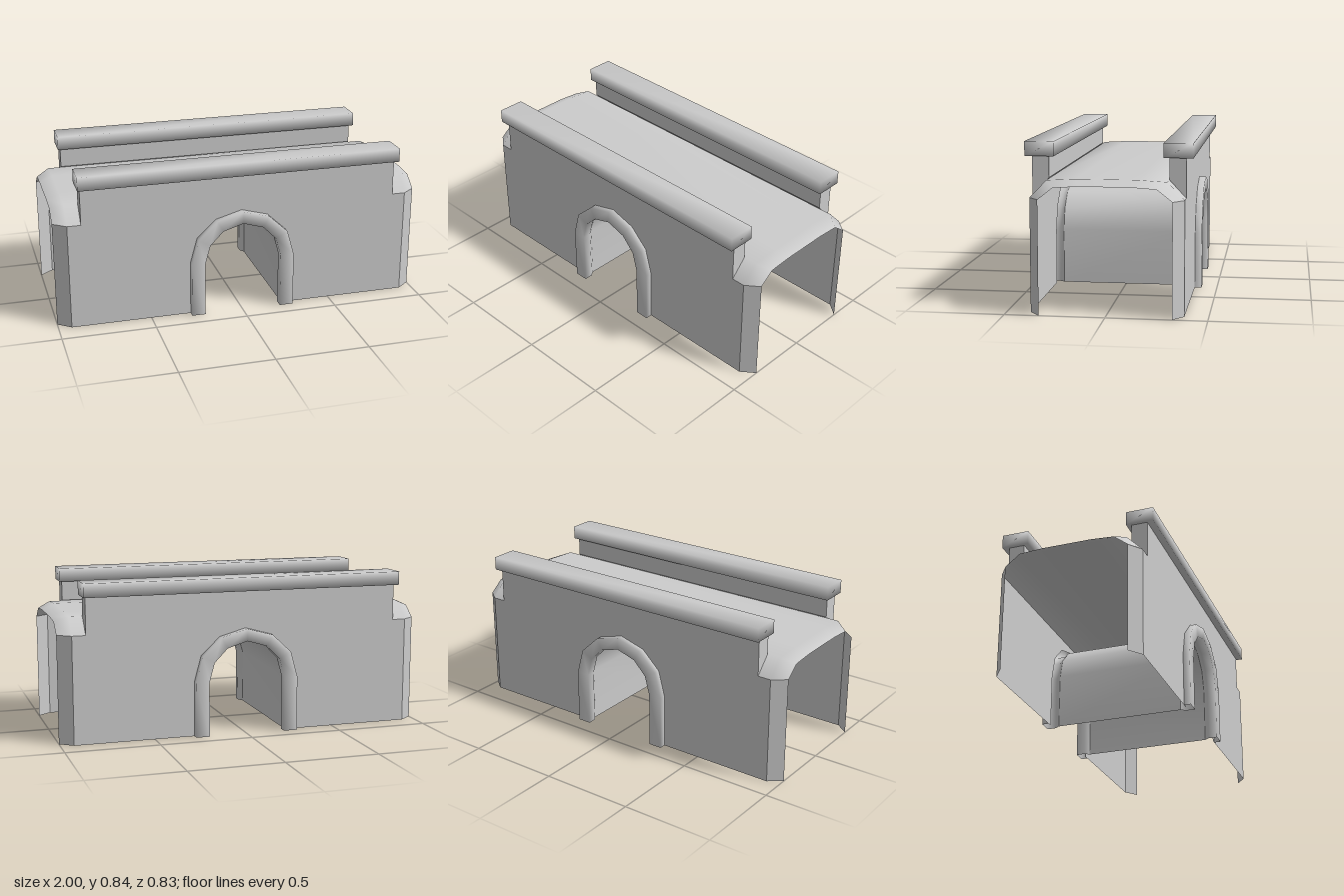
import * as THREE from 'three';
import { mergeVertices } from 'three/addons/utils/BufferGeometryUtils.js';

const stone = new THREE.MeshStandardMaterial({ color: 0xcccccc, side: THREE.DoubleSide });
stone.name = 'grey stone';

function mesh(name, geometry, parent) {
  const m = new THREE.Mesh(geometry, stone);
  m.name = name;
  parent.add(m);
  return m;
}

// Smooth surface through equal-length rows of [x, y, z] points
function loft(rows) {
  const n = rows[0].length, index = [];
  for (let r = 0; r < rows.length - 1; r++) {
    for (let c = 0; c < n - 1; c++) {
      const a = r * n + c, b = a + n;
      index.push(a, b, a + 1, a + 1, b, b + 1);
    }
  }
  const g = new THREE.BufferGeometry();
  g.setAttribute('position', new THREE.Float32BufferAttribute(rows.flat(2), 3));
  g.setIndex(index);
  g.computeVertexNormals();
  return g;
}

// Box whose corner normals are averaged
function softBox(w, h, d) {
  let g = new THREE.BoxGeometry(w, h, d);
  g.deleteAttribute('normal');
  g.deleteAttribute('uv');
  g = mergeVertices(g);
  g.computeVertexNormals();
  return g;
}

// Half arch from foot to crown: inner x, y, then outer x, y
const HALF_ARCH = [
  [0.21, 0, 0.284, 0], [0.21, 0.294, 0.284, 0.294], [0.182, 0.397, 0.246, 0.433],
  [0.11, 0.471, 0.143, 0.53], [0, 0.504, 0, 0.57],
];

// Full arch line from left foot to right foot; t = 0 is inner, 1 is outer
function archLine(t) {
  const half = HALF_ARCH.map(([a, b, c, d]) => [a + (c - a) * t, b + (d - b) * t]);
  const other = half.slice(0, -1).reverse().map(([x, y]) => [-x, y]);
  return [...half, ...other].map(([x, y]) => [-x, y]);
}

const WALL_Z = 0.381, WALL_TOP = 0.573, END_Z = 0.327;

function createSide(name) {
  const side = new THREE.Group();
  side.name = name;

  // Wall sheet notched by the arch
  const outline = [[-0.93, 0], ...archLine(0.6), [0.93, 0], [0.93, WALL_TOP], [-0.93, WALL_TOP]];
  const shape = new THREE.Shape(outline.map(([x, y]) => new THREE.Vector2(x, y)));
  mesh('wall', new THREE.ShapeGeometry(shape), side).position.z = WALL_Z;

  // Angled wall ends
  for (const s of [-1, 1]) {
    const rows = [[s * 0.93, WALL_Z], [s, END_Z]].map(([x, z]) => [[x, 0, z], [x, WALL_TOP, z]]);
    if (s < 0) rows.reverse();
    mesh('wallEnd', loft(rows), side);
  }

  // Parapet, resting on the sloped deck edge
  const section = new THREE.Shape([[-WALL_Z, WALL_TOP], [-0.297, 0.663], [-0.297, 0.775], [-WALL_Z, 0.775]]
    .map(([x, y]) => new THREE.Vector2(x, y)));
  const parapet = new THREE.ExtrudeGeometry(section, { depth: 1.716, bevelEnabled: false });
  parapet.translate(0, 0, -0.858).rotateY(Math.PI / 2);
  mesh('parapet', parapet, side);

  // Coping
  mesh('coping', softBox(1.746, 0.073, 0.145), side).position.set(0, 0.8065, 0.3435);
  return side;
}

export function createModel() {
  const model = new THREE.Group();
  model.name = 'archedBridge';

  // Two mirrored sides
  model.add(createSide('frontSide'));
  const back = createSide('backSide');
  back.rotation.y = Math.PI;
  model.add(back);

  // Curved deck with ends that slope down
  const mid = [[WALL_Z, WALL_TOP], [0.296, 0.66], [0.15, 0.668]];
  const end = [[END_Z, WALL_TOP], [0.252, 0.632], [0.13, 0.64]];
  const deckRow = (x, half) => [
    ...half.map(([z, y]) => [x, y, z]),
    ...half.slice().reverse().map(([z, y]) => [x, y, -z]),
  ];
  const deck = loft([deckRow(1, end), deckRow(0.93, mid), deckRow(-0.93, mid), deckRow(-1, end)].reverse());
  mesh('deck', deck, model);

  // Arch trims: [t, z] cross-section carried along the arch
  const trim = [[1, WALL_Z], [1, 0.417], [0, 0.417], [0, 0.37], [0.25, 0.345]];
  const row = ([t, z]) => archLine(t).map(([x, y]) => [x, y, z]);
  mesh('frontArchTrim', loft(trim.map(row)), model);
  mesh('backArchTrim', loft(trim.map(([t, z]) => row([t, -z])).reverse()), model);

  // Barrel vault between the trims
  mesh('tunnelVault', loft([row([0.25, 0.345]), row([0.25, -0.345])]), model);

  return model;
}
